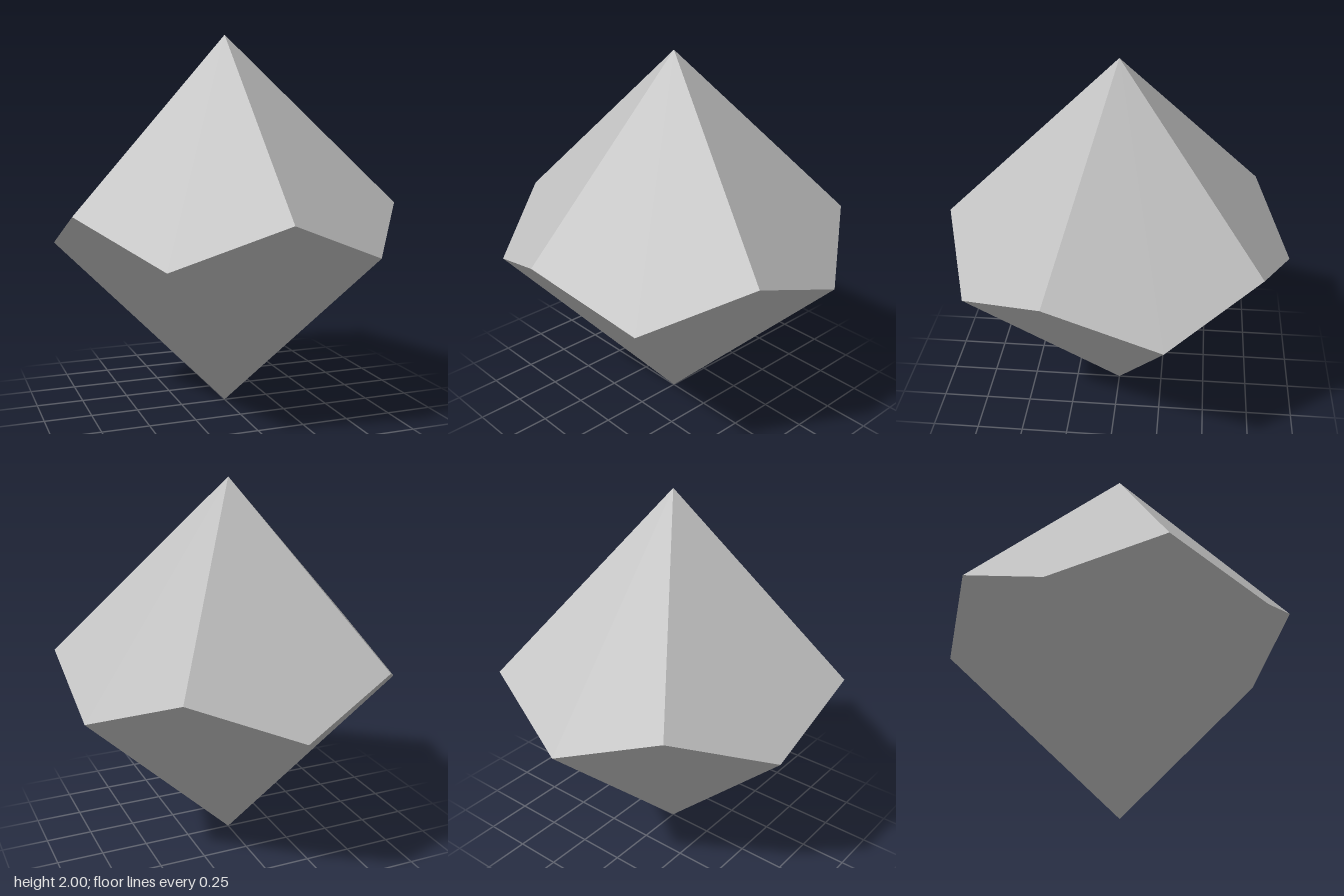
import * as THREE from 'three';

const RADIUS = 0.925;
const RISE = Math.tan(Math.PI / 10) ** 2; // zigzag height that keeps each kite flat

// Belt corners alternate above and below the middle; corner 0 faces the front
function beltCorner(i) {
  const a = (i * Math.PI) / 5;
  const y = 1 + (i % 2 === 0 ? RISE : -RISE);
  return [RADIUS * Math.sin(a), y, RADIUS * Math.cos(a)];
}

// Five kite faces meeting at one tip
function kiteCap(upper) {
  const tip = [0, upper ? 2 : 0, 0];
  const positions = [];
  for (let k = 0; k < 5; k++) {
    const mid = 2 * k + (upper ? 1 : 0);
    let left = beltCorner(mid + 9);
    let right = beltCorner(mid + 1);
    if (!upper) [left, right] = [right, left];
    const far = beltCorner(mid);
    positions.push(...tip, ...left, ...far, ...tip, ...far, ...right);
  }
  const geometry = new THREE.BufferGeometry();
  geometry.setAttribute('position', new THREE.Float32BufferAttribute(positions, 3));
  geometry.computeVertexNormals();
  return geometry;
}

export function createModel() {
  const group = new THREE.Group();
  group.name = 'tenSidedDie';
  const grey = new THREE.MeshStandardMaterial({ color: 0xc0c0c0 });
  grey.name = 'light grey';

  for (const upper of [true, false]) {
    const cap = new THREE.Mesh(kiteCap(upper), grey);
    cap.name = upper ? 'upperFaces' : 'lowerFaces';
    group.add(cap);
  }
  return group;
}
